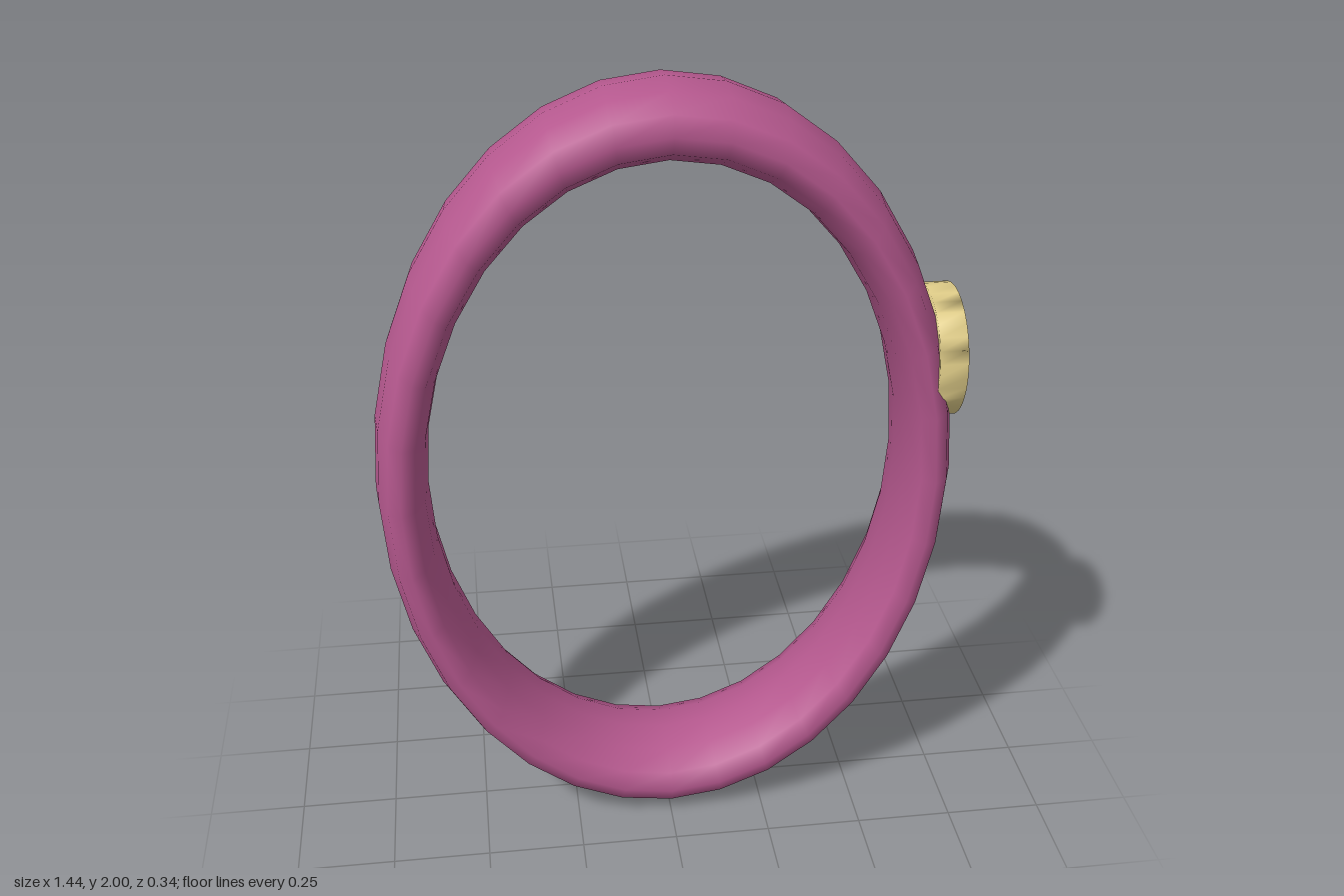
import * as THREE from 'three';
import { mergeVertices } from 'three/addons/utils/BufferGeometryUtils.js';

const pink = new THREE.MeshStandardMaterial({ name: 'pink', color: 0xb5588e });
const gold = new THREE.MeshStandardMaterial({ name: 'paleGold', color: 0xdfcc88 });

// Share the vertices of caps and rim so the shading runs smoothly over the edges
function smooth(geometry) {
  geometry.deleteAttribute('uv');
  geometry.deleteAttribute('normal');
  const merged = mergeVertices(geometry, 1e-4);
  merged.computeVertexNormals();
  return merged;
}

export function createModel() {
  const model = new THREE.Group();
  model.name = 'oval band';

  // Oval band: a torus narrowed in x and widened in z
  const bandGeometry = new THREE.TorusGeometry(0.91, 0.09, 12, 32);
  bandGeometry.scale(0.72, 1, 1.9);
  const band = new THREE.Mesh(bandGeometry, pink);
  band.name = 'band';
  band.position.y = 1;
  model.add(band);

  // Round disc set into the left side, facing +x
  const radius = 0.165, sides = 32;
  const outline = Array.from({ length: sides }, (_, i) => {
    const a = (i / sides) * Math.PI * 2;
    return new THREE.Vector2(radius * Math.cos(a), radius * Math.sin(a));
  });
  const discGeometry = new THREE.ExtrudeGeometry(new THREE.Shape(outline), { depth: 0.07, bevelEnabled: false });
  discGeometry.rotateY(Math.PI / 2);
  const disc = new THREE.Mesh(smooth(discGeometry), gold);
  disc.name = 'disc';
  disc.position.set(0.642, 1.29, 0);
  model.add(disc);

  return model;
}
